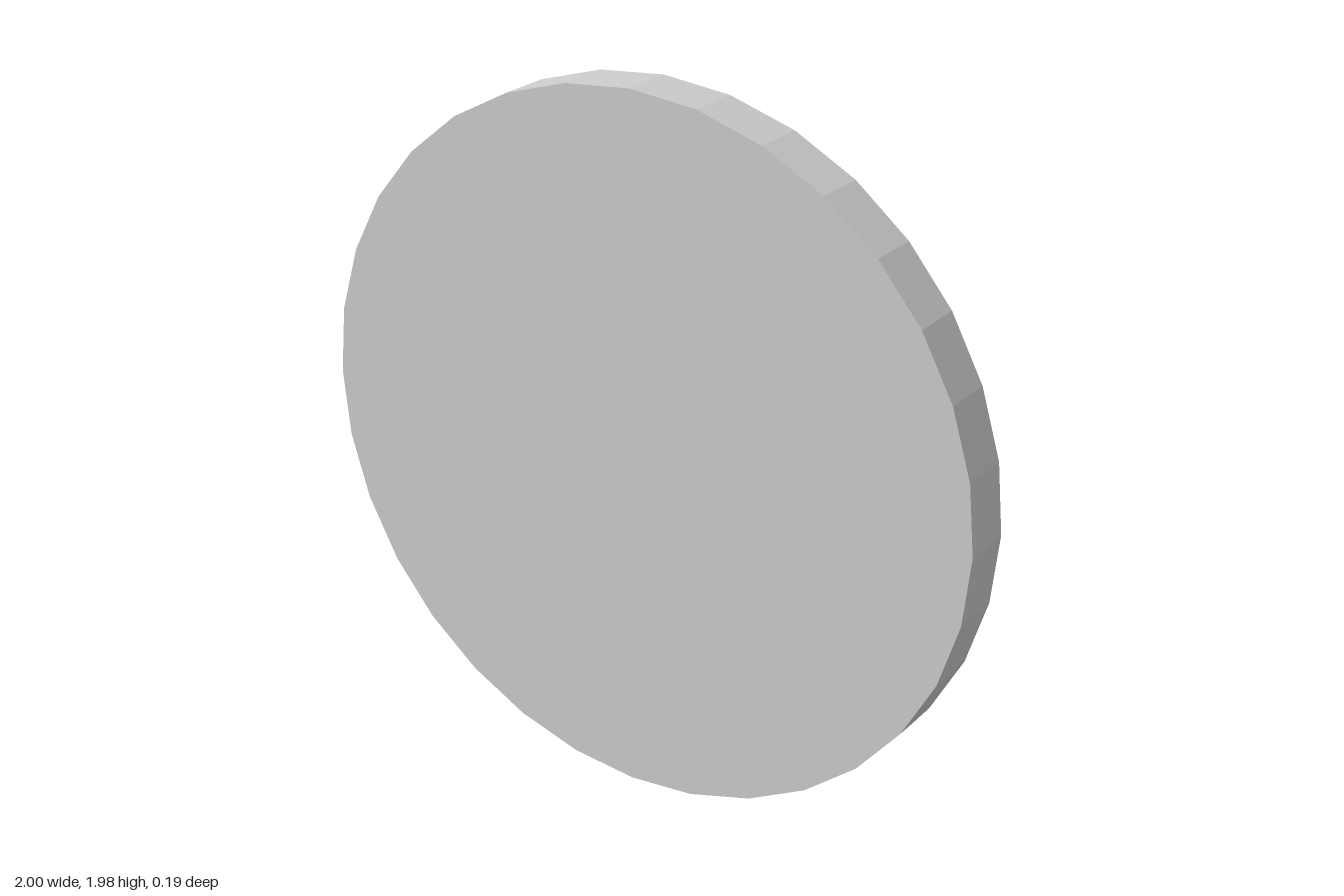
import * as THREE from 'three';

const paint = (name, color, flatShading = false) => {
  const m = new THREE.MeshStandardMaterial({ color, flatShading });
  m.name = name;
  return m;
};

// Elliptical disc with its axis along z, spanning zBack..zFront
function disc(name, material, rx, ry, cy, zBack, zFront, sides) {
  const geo = new THREE.CylinderGeometry(1, 1, zFront - zBack, sides);
  geo.rotateX(Math.PI / 2);
  geo.scale(rx, ry, 1);
  geo.translate(0, cy, (zFront + zBack) / 2);
  const mesh = new THREE.Mesh(geo, material);
  mesh.name = name;
  return mesh;
}

export function createModel() {
  const group = new THREE.Group();
  group.name = 'archeryTarget';

  // Faceted backing board
  group.add(disc('board', paint('board grey', 0xcccccc, true), 1, 0.99, 0.99, -0.053, 0.095, 32));

  // Scoring rings stacked on the back face, each a little prouder than the last
  const rings = [
    ['blackRing', 'black', 0x0e0e0e, 0.865, 0.834, 0.993, -0.053, -0.077],
    ['blueRing', 'blue', 0x108bb5, 0.662, 0.638, 0.986, -0.075, -0.08],
    ['redRing', 'red', 0xb41010, 0.467, 0.427, 0.987, -0.077, -0.086],
    ['bullseye', 'yellow', 0xb1b412, 0.264, 0.253, 0.987, -0.085, -0.095],
  ];
  for (const [name, colorName, color, rx, ry, cy, zInner, zOuter] of rings) {
    group.add(disc(name, paint(colorName, color), rx, ry, cy, zOuter, zInner, 48));
  }
  return group;
}
